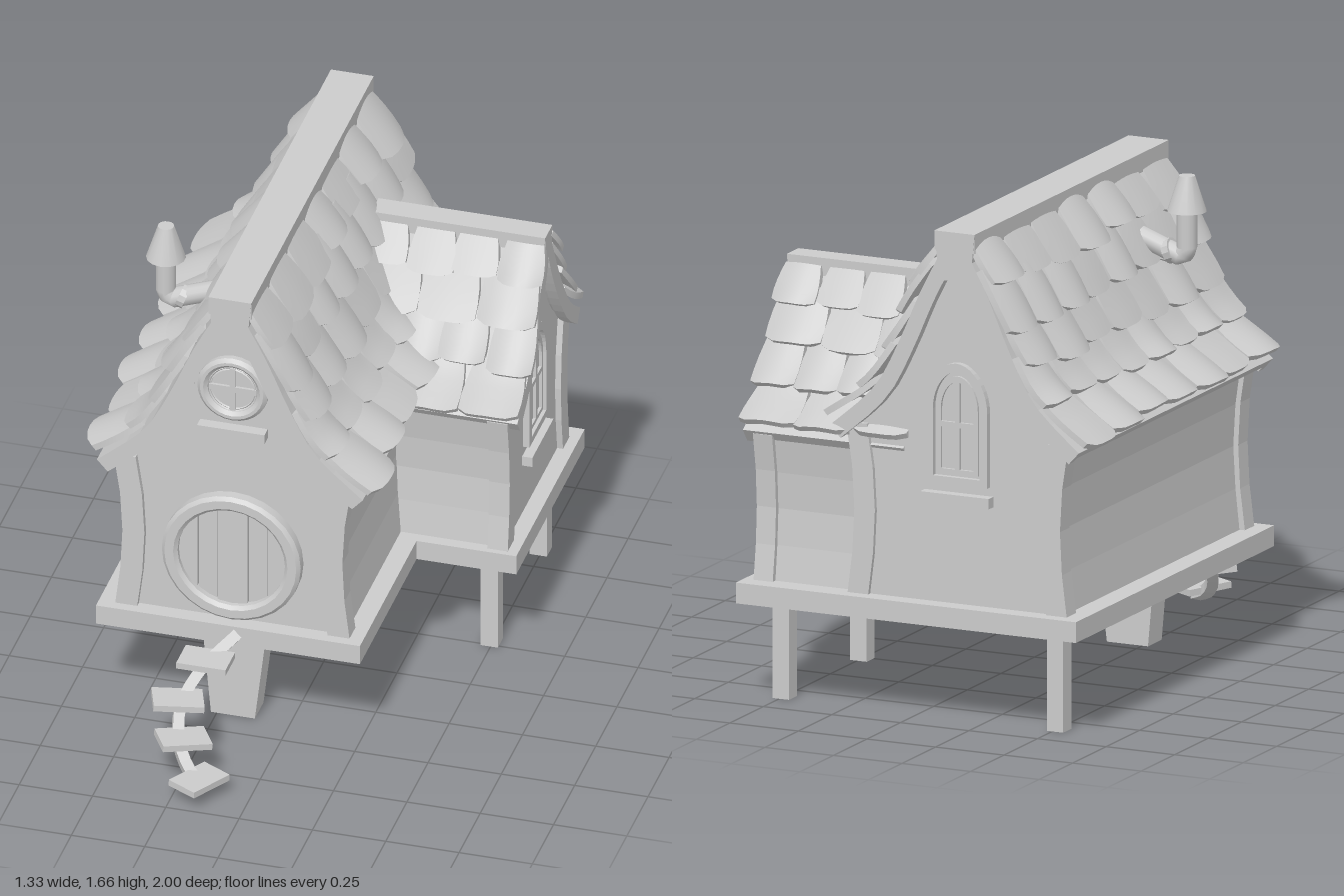
import * as THREE from 'three';
import { mergeGeometries, toCreasedNormals } from 'three/addons/utils/BufferGeometryUtils.js';

const mat = new THREE.MeshStandardMaterial({ color: 0xcccccc });
const flatMat = new THREE.MeshStandardMaterial({ color: 0xcccccc, flatShading: true });
const V2 = (x, y) => new THREE.Vector2(x, y);
const V3 = (x, y, z) => new THREE.Vector3(x, y, z);

let seed = 7;
const rnd = () => (seed = (seed * 16807) % 2147483647) / 2147483647;

function add(parent, name, geo, x = 0, y = 0, z = 0, material = flatMat) {
  const m = new THREE.Mesh(geo, material);
  m.name = name;
  m.position.set(x, y, z);
  parent.add(m);
  return m;
}
const box = (w, h, d) => new THREE.BoxGeometry(w, h, d);
// Outline in x/y pushed along z from z0 to z1
function prism(shape, z0, z1) {
  const s = Array.isArray(shape) ? new THREE.Shape(shape) : shape;
  return new THREE.ExtrudeGeometry(s, { depth: z1 - z0, bevelEnabled: false, curveSegments: 10 }).translate(0, 0, z0);
}
const mirrored = (pts) => [...pts, ...pts.slice().reverse().map((p) => V2(-p.x, p.y))];

// Roof profile point, pushed out along the normal; runs straight past the eave
function roofPoint(curve, s, off) {
  const c = Math.min(Math.max(s, 0), 1);
  const p = curve.getPointAt(c), t = curve.getTangentAt(c);
  const over = (s - c) * curve.getLength();
  return V2(p.x + t.x * over - t.y * off, p.y + t.y * over + t.x * off);
}

// One shingle bent over the roof profile
function shingle(curve, side, s0, s1, wc, width) {
  const g = new THREE.BoxGeometry(1, 1, 1, 6, 1, 4), p = g.attributes.position;
  const arch = rnd() < 0.5 ? 0.008 : 0.03, lift = rnd() * 0.008, skew = (rnd() - 0.5) * 0.05;
  for (let i = 0; i < p.count; i++) {
    const lx = p.getX(i), v = p.getZ(i) + 0.5, a = Math.abs(2 * lx);
    const s = s0 + (s1 - s0) * (v * (1 - 0.1 * a ** 4) + skew * lx * v);
    const h = 0.004 + lift + v * 0.024 + arch * (1 - a * a) * (0.4 + 0.6 * v) + (p.getY(i) + 0.5) * 0.022;
    const q = roofPoint(curve, s, h);
    const w = lx * width * (0.82 + 0.2 * Math.sin(v * 2));
    p.setXYZ(i, side * q.x, q.y, wc - side * w);
  }
  return toCreasedNormals(g, 0.6);
}

// A gabled house section, running along local z, centred on local x = 0
function section(o) {
  const g = new THREE.Group();
  g.name = o.name;
  const curve = new THREE.SplineCurve(o.roof.map(([x, y]) => V2(x, y)));
  const line = (off) => Array.from({ length: 13 }, (_, i) => roofPoint(curve, i / 12, off));
  const top = o.roof[0][1];

  // Walls with a pinched waist, rising into the gable
  const h = o.wallTop - 0.4;
  const side = [[-0.02, 0], [-0.035, 0.25], [-0.043, 0.5], [-0.035, 0.75], [-0.015, 1]];
  const wall = side.map(([d, t]) => V2(o.half + d, 0.4 + t * h));
  const gable = line(-0.02).reverse().filter((p) => p.x < o.half - 0.03 && p.y > o.wallTop);
  add(g, 'walls', prism(mirrored([...wall, ...gable]), o.wall0, o.wall1));

  // Curved corner posts
  const bow = [[0, 0], [-0.018, 0.25], [-0.025, 0.5], [-0.017, 0.75], [0.005, 1]];
  for (const [z0, z1] of o.posts) for (const s of [-1, 1]) {
    const out = bow.map(([d, t]) => V2(s * (o.half + d), 0.4 + t * (h + 0.01)));
    const inn = bow.map(([d, t]) => V2(s * (o.half + d - 0.075), 0.4 + t * (h + 0.01))).reverse();
    add(g, 'cornerPost', prism([...out, ...inn], z0, z1));
  }

  // Roof slab and the deeper boards along its gable ends
  const sheet = (thick, z0, z1) => {
    const outer = mirrored(line(0.005).reverse());
    const inner = mirrored(line(-thick).map((p) => V2(Math.max(p.x, 0.002), p.y)).reverse());
    return prism([...outer, ...inner.reverse()], z0, z1);
  };
  add(g, 'roofSlab', sheet(0.03, o.z0 + 0.01, o.z1 - 0.01));
  for (const e of o.ends) {
    const z = e > 0 ? o.z1 : o.z0;
    add(g, 'gableBoard', sheet(0.05, Math.min(z, z - e * 0.035), Math.max(z, z - e * 0.035)));
    const cap = mirrored([V2(o.ridge * 0.78, o.capLow), V2(o.ridge, o.ridgeTop)]);
    add(g, 'ridgeCap', prism(cap, Math.min(z, z - e * 0.045), Math.max(z, z - e * 0.045)));
  }
  const len = o.z1 - o.z0;
  const beamLow = top - 0.02;
  add(g, 'ridgeBeam', box(o.ridge * 2, o.ridgeTop - beamLow, len - 0.004), 0, (o.ridgeTop + beamLow) / 2, (o.z0 + o.z1) / 2);

  // Staggered rows of shingles on both slopes
  const tiles = [];
  for (const s of [-1, 1]) o.rows.forEach((s1, r) => {
    const n = o.columns + (r % 2), pitch = (len + (r % 2 ? 0.03 : 0)) / n;
    for (let i = 0; i < n; i++) {
      const wc = (o.z0 + o.z1) / 2 + (i - (n - 1) / 2) * pitch + (rnd() - 0.5) * 0.015;
      const end = s1 + (rnd() - 0.5) * 0.05;
      tiles.push(shingle(curve, s, Math.max(0, s1 - o.tile), end, wc, pitch * (0.97 + rnd() * 0.06)));
    }
  });
  add(g, 'shingles', mergeGeometries(tiles), 0, 0, 0, mat);
  return g;
}

// Arched window with glazing bars and a sill, facing +z
function archWindow(parent, x, y, z, ry) {
  const g = new THREE.Group();
  g.name = 'archedWindow';
  const arch = (w, b, t) => {
    const s = new THREE.Shape();
    s.moveTo(-w, b); s.lineTo(w, b); s.lineTo(w, 0.25);
    s.bezierCurveTo(w, 0.25 + (t - 0.25) * 0.55, w * 0.5, t, 0, t);
    s.bezierCurveTo(-w * 0.5, t, -w, 0.25 + (t - 0.25) * 0.55, -w, 0.25);
    s.closePath();
    return s;
  };
  const frame = arch(0.113, 0, 0.41), inner = arch(0.075, 0.035, 0.365);
  frame.holes.push(arch(0.085, 0.025, 0.38));
  add(g, 'windowFrame', prism(frame, -0.02, 0.022));
  inner.holes.push(arch(0.06, 0.05, 0.345));
  add(g, 'windowSash', prism(inner, -0.02, 0.014));
  add(g, 'windowPane', prism(arch(0.09, 0.02, 0.39), -0.02, 0.004));
  add(g, 'glazingBar', box(0.018, 0.32, 0.02), 0, 0.195, 0.004);
  add(g, 'glazingBar', box(0.14, 0.018, 0.02), 0, 0.2, 0.004);
  add(g, 'windowSill', box(0.25, 0.035, 0.06), 0, -0.048, 0.005);
  g.position.set(x, y, z);
  g.rotation.y = ry;
  parent.add(g);
}

// Round ring facing +z
function ring(r0, r1, depth) {
  const b = 0.012;
  const pts = [V2(r0, -0.02), V2(r1, -0.02), V2(r1, depth - b), V2(r1 - b, depth), V2(r0 + b, depth), V2(r0, depth - b), V2(r0, -0.02)];
  return toCreasedNormals(new THREE.LatheGeometry(pts, 28).rotateX(Math.PI / 2), 0.5);
}

export function createModel() {
  const house = new THREE.Group();
  house.name = 'stiltCottage';
  const cx = -0.18, wz = -0.565;

  // L-shaped platform and stilts
  const deck = [[-0.635, -0.49], [0.265, -0.49], [0.265, 0.18], [0.605, 0.18], [0.605, 0.99], [-0.635, 0.99]];
  add(house, 'platform', prism(deck.map(([x, y]) => V2(x, y)), 0.335, 0.405).rotateX(-Math.PI / 2));
  for (const [x, z] of [[0.495, -0.85], [0.495, -0.27], [-0.51, -0.86]])
    add(house, 'stilt', box(0.06, 0.34, 0.06), x, 0.17, z);
  const pier = [V2(-0.27, 0), V2(-0.12, 0), V2(-0.08, 0.34), V2(-0.3, 0.34)];
  add(house, 'frontPier', prism(pier, 0.295, 0.397));

  // Main house and side wing
  const main = section({
    name: 'mainHouse', half: 0.4, wallTop: 0.97, wall0: -0.93, wall1: 0.435,
    posts: [[0.385, 0.455], [-0.945, -0.875]], z0: -0.965, z1: 0.485, ends: [-1, 1],
    roof: [[0.03, 1.62], [0.12, 1.45], [0.2, 1.27], [0.29, 1.11], [0.45, 0.965]],
    ridge: 0.073, ridgeTop: 1.665, capLow: 1.5, rows: [1.01, 0.8, 0.6, 0.41, 0.23], tile: 0.29, columns: 7,
  });
  main.position.x = cx;
  house.add(main);
  const wing = section({
    name: 'sideWing', half: 0.365, wallTop: 0.89, wall0: -0.1, wall1: 0.55,
    posts: [[0.5, 0.57]], z0: 0.01, z1: 0.605, ends: [1],
    roof: [[0.02, 1.39], [0.1, 1.23], [0.17, 1.11], [0.26, 0.99], [0.37, 0.905]],
    ridge: 0.043, ridgeTop: 1.43, capLow: 1.33, rows: [1.01, 0.74, 0.48, 0.24], tile: 0.36, columns: 3,
  });
  wing.position.z = wz;
  wing.rotation.y = Math.PI / 2;
  house.add(wing);

  // Round door made of planks
  const door = new THREE.Group();
  door.name = 'roundDoor';
  door.position.set(cx, 0.655, 0.435);
  add(door, 'doorFrame', ring(0.183, 0.237, 0.045), 0, 0, 0, mat);
  const R = 0.19, edges = [-1, -0.62, -0.28, 0.28, 0.62, 1];
  for (let i = 0; i < 5; i++) {
    const a = edges[i] * R + 0.002, b = edges[i + 1] * R - 0.002;
    const arc = Array.from({ length: 6 }, (_, k) => a + ((b - a) * k) / 5).map((x) => V2(x, Math.sqrt(R * R - x * x)));
    add(door, 'doorPlank', prism([...arc, ...arc.slice().reverse().map((p) => V2(p.x, -p.y))], -0.02, i % 2 ? 0.012 : 0.018));
  }
  house.add(door);

  // Round gable window
  const round = new THREE.Group();
  round.name = 'roundWindow';
  round.position.set(cx, 1.3, 0.435);
  add(round, 'windowFrame', ring(0.085, 0.12, 0.03), 0, 0, 0, mat);
  add(round, 'windowPane', new THREE.CylinderGeometry(0.09, 0.09, 0.02, 24).rotateX(Math.PI / 2));
  add(round, 'windowSash', ring(0.07, 0.087, 0.018), 0, 0, 0, mat);
  add(round, 'glazingBar', box(0.02, 0.16, 0.02), 0, 0, 0.01);
  add(round, 'glazingBar', box(0.16, 0.02, 0.02), 0, 0, 0.01);
  add(round, 'windowSill', box(0.23, 0.035, 0.06), 0, -0.162, 0.01);
  house.add(round);

  archWindow(house, 0.55, 0.655, wz, Math.PI / 2);
  archWindow(house, cx, 0.81, -0.93, Math.PI);

  // Stovepipe with a conical cap
  const pipe = new THREE.CurvePath();
  const knee = [V3(-0.51, 1.56, 0.095), V3(-0.51, 1.41, 0.095), V3(-0.49, 1.385, 0.095), V3(-0.34, 1.44, 0.095)];
  for (let i = 0; i < 3; i++) pipe.add(new THREE.LineCurve3(knee[i], knee[i + 1]));
  add(house, 'stovepipe', new THREE.TubeGeometry(pipe, 24, 0.034, 12), 0, 0, 0, mat);
  add(house, 'elbowCollar', new THREE.CylinderGeometry(0.042, 0.042, 0.025, 12).rotateZ(1.2), -0.45, 1.4, 0.095);
  add(house, 'chimneyCap', toCreasedNormals(new THREE.CylinderGeometry(0.027, 0.066, 0.12, 14), 0.6), -0.51, 1.6, 0.095, mat);

  // Curved stair: one bent stringer with four treads
  const stringer = new THREE.CatmullRomCurve3([
    V3(-0.15, 0.385, 0.5), V3(-0.24, 0.3, 0.6), V3(-0.285, 0.21, 0.7), V3(-0.265, 0.12, 0.79), V3(-0.215, 0.06, 0.85), V3(-0.15, 0.03, 0.9),
  ]);
  const rail = add(house, 'stairStringer', new THREE.TubeGeometry(stringer, 16, 0.026, 4));
  rail.material = new THREE.MeshStandardMaterial({ color: 0xcccccc, flatShading: true, side: THREE.DoubleSide });
  const treads = [[-0.225, 0.34, 0.615, 0, 0], [-0.287, 0.245, 0.73, 20, -5], [-0.245, 0.15, 0.81, 31, -6], [-0.165, 0.06, 0.9, 62, -2]];
  for (const [x, y, z, turn, tilt] of treads) {
    const t = add(house, 'stairTread', box(0.168, 0.022, 0.115), x, y, z);
    t.rotation.set(0, THREE.MathUtils.degToRad(turn), THREE.MathUtils.degToRad(tilt));
  }
  return house;
}
